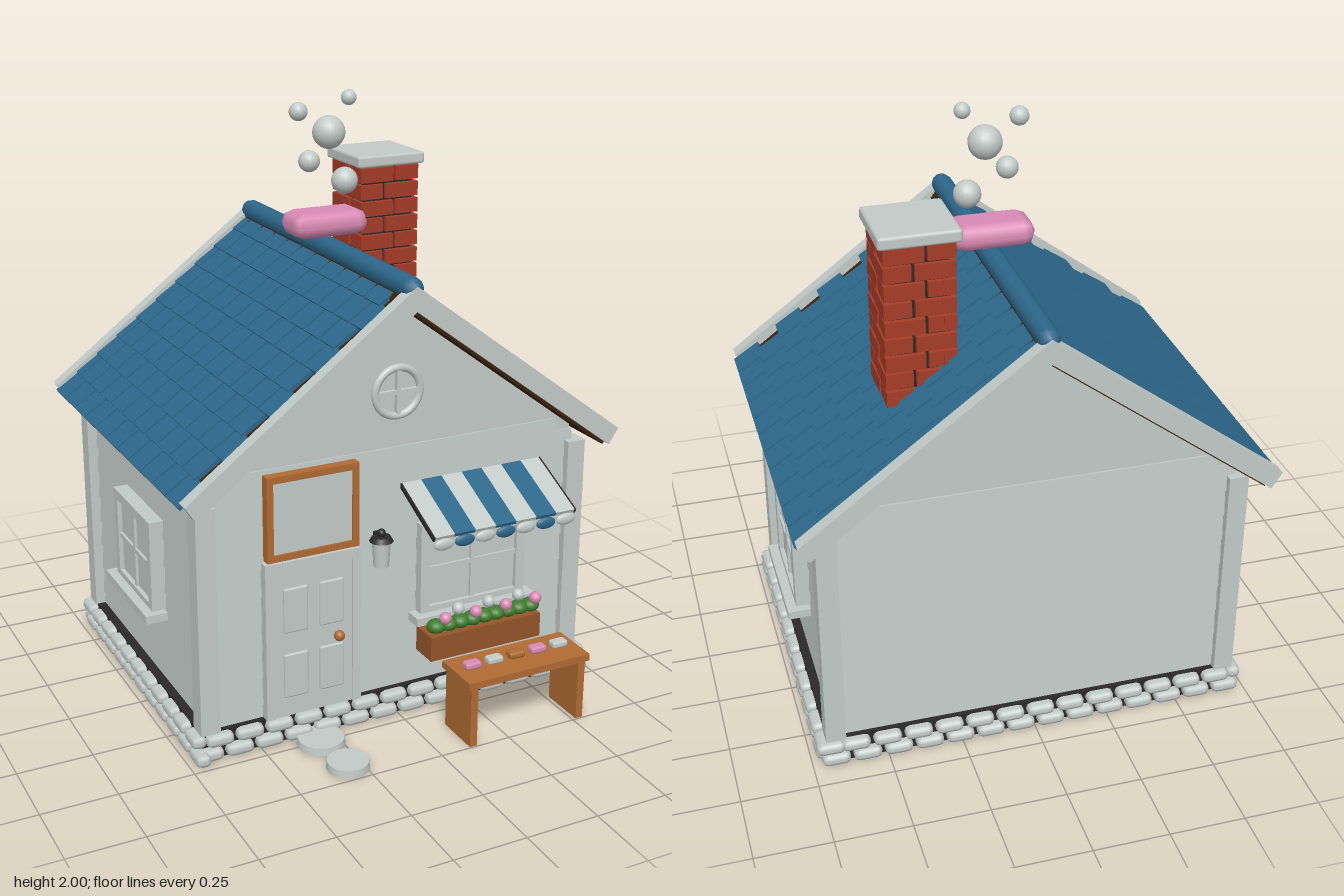
import * as THREE from 'three';
import { RoundedBoxGeometry } from 'three/addons/geometries/RoundedBoxGeometry.js';

const mat = (name, color) => Object.assign(new THREE.MeshStandardMaterial({ color }), { name });

export function createModel() {
  const M = {
    grey: mat('pale grey', 0xc2cbc8), blue: mat('roof blue', 0x2d678a), wood: mat('warm wood', 0xb06b33),
    darkWood: mat('planter wood', 0x94552a), pink: mat('soap pink', 0xd98bb5), green: mat('leaf green', 0x3f7d2c),
    brick: mat('brick red', 0xa63c28), dark: mat('charcoal', 0x2a2829), eave: mat('eave brown', 0x3b220d),
  };
  const root = new THREE.Group();
  root.name = 'cottage';
  const CZ = -0.105, SLOPE = Math.atan(0.75);

  const group = (name, parent = root, x = 0, y = 0, z = 0) => {
    const g = new THREE.Group();
    g.name = name;
    g.position.set(x, y, z);
    parent.add(g);
    return g;
  };
  const add = (parent, name, geo, m, x = 0, y = 0, z = 0) => {
    const mesh = new THREE.Mesh(geo, m);
    mesh.name = name;
    mesh.position.set(x, y, z);
    parent.add(mesh);
    return mesh;
  };
  const box = (p, name, w, h, d, m, x, y, z) => add(p, name, new THREE.BoxGeometry(w, h, d), m, x, y, z);
  const round = (p, name, w, h, d, r, m, x, y, z) => add(p, name, new RoundedBoxGeometry(w, h, d, 1, r), m, x, y, z);
  const ball = (p, name, r, m, x, y, z) => add(p, name, new THREE.SphereGeometry(r, 16, 12), m, x, y, z);

  // Foundation: dark core ringed by two courses of rounded stones
  const base = group('foundation');
  box(base, 'foundationCore', 1.4, 0.095, 1.09, M.dark, 0, 0.0475, CZ);
  for (const row of [0, 1]) {
    for (const s of [-1, 1]) {
      for (let i = 0; i < 14; i++) {
        const x = -0.715 + 0.104 * (i + (row ? 0.7 : 0.35));
        round(base, 'stone', 0.094, 0.042, 0.05, 0.018, M.grey, Math.min(x, 0.69), 0.024 + row * 0.047, CZ + s * 0.552);
      }
      for (let i = 0; i < 11; i++) {
        const z = CZ - 0.56 + 0.104 * (i + (row ? 0.35 : 0.7));
        round(base, 'stone', 0.05, 0.042, 0.094, 0.018, M.grey, s * 0.71, 0.024 + row * 0.047, z);
      }
    }
  }

  // Walls: gabled core, lapped planks, corner boards
  const walls = group('walls');
  const outline = new THREE.Shape([[-0.66, 0.05], [0.66, 0.05], [0.66, 0.915], [0, 1.41], [-0.66, 0.915]]
    .map(([x, y]) => new THREE.Vector2(x, y)));
  add(walls, 'gabledCore', new THREE.ExtrudeGeometry(outline, { depth: 1.04, bevelEnabled: false }), M.grey, 0, 0, CZ - 0.52);
  for (const s of [-1, 1]) {
    for (let i = 0; i < 10; i++) {
      const top = i === 9, h = top ? 0.045 : 0.094, y = 0.045 + 0.095 * i + h / 2;
      box(walls, 'endPlank', top ? 1.2 : 1.33, h, 0.016, M.grey, 0, y, CZ + s * 0.521).rotation.x = -s * 0.08;
      if (!top) box(walls, 'sidePlank', 0.016, Math.min(h, 0.88 - y + h / 2), 1.05, M.grey, s * 0.662, y, CZ).rotation.z = s * 0.08;
    }
    for (const e of [-1, 1]) box(walls, 'cornerBoard', 0.066, 0.77, 0.066, M.grey, s * 0.671, 0.477, CZ + e * 0.521);
  }

  // Roof: slabs, staggered shingles and rake boards placed by distance down the slope
  const roof = group('roof');
  const onSlope = (name, side, s, n, len, thick, depth, z, m, tilt = 0) => {
    const x = side * (s * Math.cos(SLOPE) + n * Math.sin(SLOPE));
    const y = 1.5 - s * Math.sin(SLOPE) + n * Math.cos(SLOPE);
    box(roof, name, len, thick, depth, m, x, y, z).rotation.z = -side * (SLOPE - tilt);
  };
  for (const side of [-1, 1]) {
    onSlope('roofSlab', side, 0.48, -0.053, 0.96, 0.04, 1.25, CZ, M.eave);
    for (let row = 0; row < 10; row++) {
      for (let i = 0; i < 11; i++) {
        const shift = row % 2 ? 0.055 : 0;
        const end = shift && i === 10;
        const z = 0.497 - shift - 0.1105 * (i + 0.5) + (end ? 0.027 : 0);
        onSlope('shingle', side, 0.972 - 0.0965 * (row + 0.5), -0.02, 0.104, 0.014, end ? 0.05 : 0.102, z, M.blue, 0.06);
      }
    }
  }
  // Rake boards as one mitred chevron at each end
  const rake = new THREE.Shape([[0, 1.5], [-0.77, 0.9225], [-0.735, 0.87], [0, 1.421], [0.735, 0.87], [0.77, 0.9225]]
    .map(([x, y]) => new THREE.Vector2(x, y)));
  for (const z of [0.495, -0.755]) add(roof, 'rakeBoards', new THREE.ExtrudeGeometry(rake, { depth: 0.046, bevelEnabled: false }), M.grey, 0, 0, z);
  const ridge = add(roof, 'ridgeCap', new THREE.CapsuleGeometry(0.036, 1.22, 3, 10), M.blue, 0, 1.487, CZ);
  ridge.rotation.x = Math.PI / 2;

  // Chimney: pinwheel brick courses around a mortar core
  const chimney = group('chimney', root, 0.315, 0, -0.345);
  box(chimney, 'mortarCore', 0.19, 0.56, 0.19, M.dark, 0, 1.43, 0);
  for (let row = 0; row < 9; row++) {
    const course = group('brickCourse', chimney, 0, 1.205 + row * 0.059, 0);
    for (let k = 0; k < 4; k++) {
      const face = group('brickFace', course);
      face.rotation.y = k * Math.PI / 2;
      const m = row % 2 ? 1 : -1;
      box(face, 'brick', 0.125, 0.05, 0.04, M.brick, m * 0.048, 0, 0.092);
      box(face, 'brick', 0.06, 0.05, 0.034, M.brick, -m * 0.055, 0, 0.092);
    }
  }
  round(chimney, 'chimneyCap', 0.257, 0.042, 0.257, 0.01, M.grey, 0, 1.727, 0);

  // Soap bar on the ridge with rising bubbles
  const soap = group('soapOrnament', root, 0, 0, CZ);
  round(soap, 'soapBar', 0.27, 0.086, 0.16, 0.04, M.pink, 0, 1.568, 0);
  for (const [x, y, r] of [[0.075, 1.7, 0.045], [-0.055, 1.775, 0.036], [0.017, 1.865, 0.055], [-0.093, 1.94, 0.031], [0.09, 1.974, 0.026]])
    ball(soap, 'bubble', r, M.grey, x, y, 0);

  // Windows, each built facing +z around its centre
  const makeWindow = (w, h, x, y, z, turn) => {
    const g = group('window', root, x, y, z);
    g.rotation.y = turn;
    box(g, 'pane', w - 0.04, h - 0.04, 0.03, M.grey, 0, 0, 0);
    for (const s of [-1, 1]) {
      box(g, 'frameSide', 0.034, h, 0.05, M.grey, s * (w / 2 - 0.017), 0, 0.005);
      box(g, 'frameRail', w - 0.068, 0.034, 0.05, M.grey, 0, s * (h / 2 - 0.017), 0.005);
    }
    box(g, 'mullion', 0.016, h - 0.068, 0.04, M.grey, 0, 0, 0.004);
    box(g, 'crossbar', w - 0.068, 0.016, 0.04, M.grey, 0, 0, 0.004);
    box(g, 'sill', w + 0.055, 0.028, 0.075, M.grey, 0, -h / 2, 0.024);
  };
  makeWindow(0.4, 0.33, 0.275, 0.505, 0.428, 0);
  for (const s of [-1, 1]) makeWindow(0.35, 0.33, s * 0.689, 0.515, CZ, s * Math.PI / 2);

  // Round gable window
  const rose = group('roundWindow', root, 0, 1.13, 0.42);
  add(rose, 'ring', new THREE.TorusGeometry(0.08, 0.013, 8, 32), M.grey);
  box(rose, 'bar', 0.16, 0.014, 0.02, M.grey, 0, 0, 0);
  box(rose, 'bar', 0.014, 0.16, 0.02, M.grey, 0, 0, 0);

  // Panelled door
  const door = group('door', root, -0.312, 0, 0.435);
  box(door, 'doorLeaf', 0.275, 0.52, 0.035, M.grey, 0, 0.355, 0);
  for (const s of [-1, 1]) {
    box(door, 'doorPost', 0.03, 0.545, 0.045, M.grey, s * 0.153, 0.367, 0);
    for (const y of [0.24, 0.47]) round(door, 'doorPanel', 0.085, 0.155, 0.02, 0.006, M.grey, s * 0.063, y, 0.015);
  }
  box(door, 'doorHead', 0.336, 0.03, 0.045, M.grey, 0, 0.625, 0);
  ball(door, 'knob', 0.018, M.wood, 0.088, 0.345, 0.026);

  // Blank framed sign over the door
  const sign = group('sign', root, -0.315, 0.792, 0.448);
  box(sign, 'signBoard', 0.29, 0.26, 0.02, M.grey, 0, 0, 0);
  for (const s of [-1, 1]) {
    box(sign, 'signSide', 0.022, 0.285, 0.034, M.wood, s * 0.148, 0, 0);
    box(sign, 'signRail', 0.318, 0.022, 0.034, M.wood, 0, s * 0.131, 0);
  }

  // Wall lantern
  const lamp = group('lantern', root, -0.075, 0, 0.462);
  add(lamp, 'lampGlass', new THREE.CylinderGeometry(0.031, 0.025, 0.09, 12), M.grey, 0, 0.607, 0);
  add(lamp, 'lampCap', new THREE.CylinderGeometry(0.03, 0.04, 0.016, 12), M.dark, 0, 0.658, 0);
  ball(lamp, 'lampFinial', 0.014, M.dark, 0, 0.677, 0);
  box(lamp, 'lampBracket', 0.02, 0.02, 0.04, M.dark, 0, 0.66, -0.02);

  // Striped awning with scalloped edge
  const awning = group('awning');
  for (let i = 0; i < 7; i++) {
    const m = i % 2 ? M.blue : M.grey, x = 0.049 + i * 0.0755;
    box(awning, 'stripe', 0.0755, 0.012, 0.255, m, x, 0.764, 0.531).rotation.x = 0.437;
    ball(awning, 'scallop', 0.036, m, x, 0.687, 0.647).scale.set(1, 0.55, 0.28);
  }
  for (const x of [0.014, 0.538]) box(awning, 'awningRib', 0.006, 0.016, 0.255, M.dark, x, 0.762, 0.531).rotation.x = 0.437;

  // Flower box
  const planter = group('flowerBox', root, 0.275, 0, 0.502);
  box(planter, 'planterTrough', 0.42, 0.085, 0.1, M.darkWood, 0, 0.267, 0);
  for (let i = 0; i < 9; i++) ball(planter, 'leaves', 0.032, M.green, -0.168 + i * 0.0455, 0.325, 0.005).scale.y = 0.75;
  for (let i = 0; i < 7; i++)
    ball(planter, 'flower', 0.021, i % 2 ? M.grey : M.pink, -0.142 + i * 0.058, i % 2 ? 0.372 : 0.355, i % 2 ? 0.005 : 0.022);

  // Bench displaying small soaps
  const bench = group('bench', root, 0.322, 0, 0.665);
  box(bench, 'benchTop', 0.458, 0.024, 0.175, M.wood, 0, 0.223, 0);
  for (const s of [-1, 1]) box(bench, 'benchLeg', 0.026, 0.212, 0.16, M.wood, s * 0.204, 0.106, 0);
  [M.pink, M.grey, M.wood, M.pink, M.grey].forEach((m, i) =>
    round(bench, 'smallSoap', 0.058, 0.024, 0.038, 0.009, m, -0.166 + i * 0.083, 0.247, -0.005));

  // Stepping stones
  for (const [x, z, r] of [[-0.315, 0.51, 0.08], [-0.3, 0.675, 0.07]])
    add(root, 'steppingStone', new THREE.CylinderGeometry(r * 0.96, r, 0.026, 20), M.grey, x, 0.013, z);

  return root;
}
